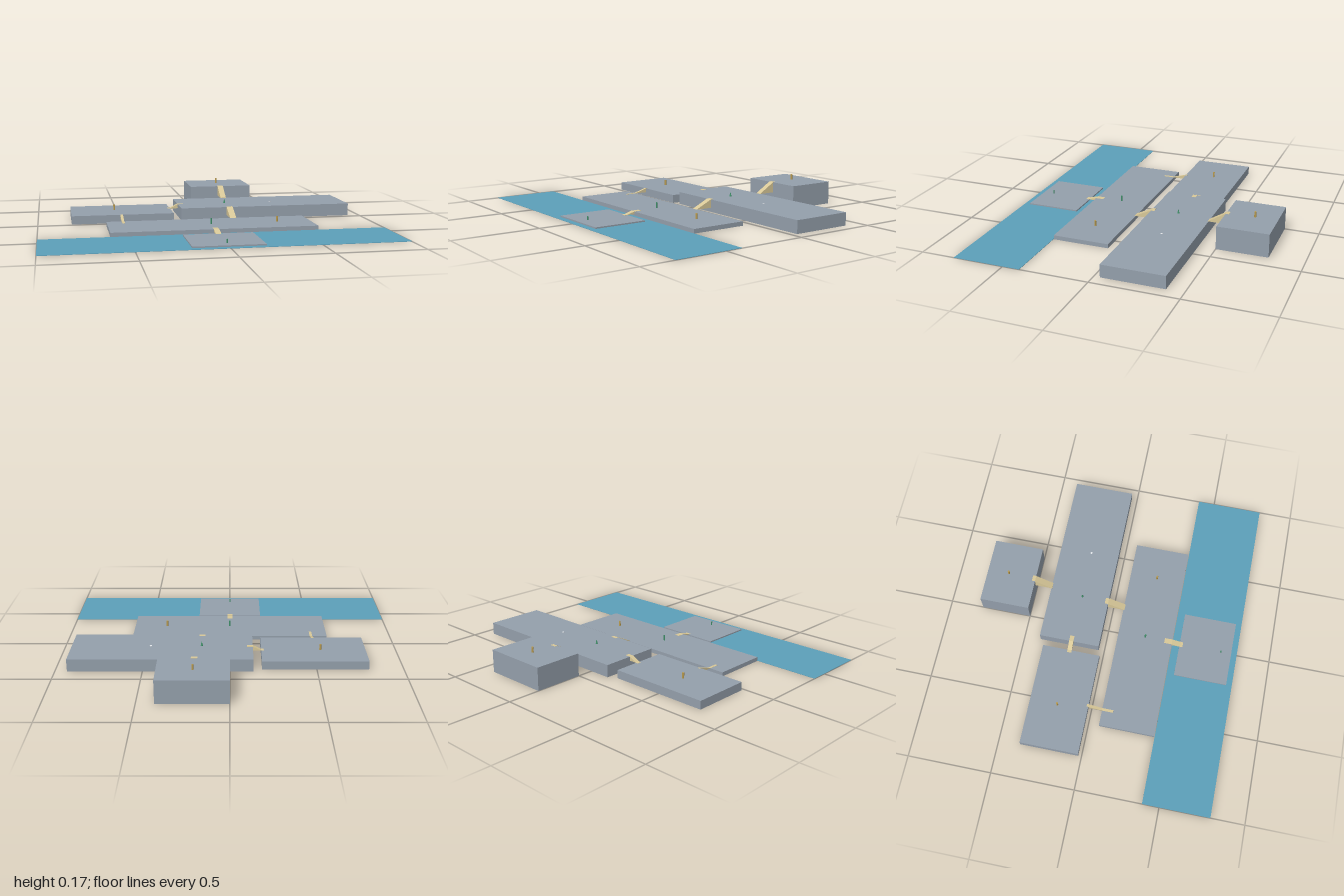
import * as THREE from 'three';

const material = (color) => new THREE.MeshStandardMaterial({ color, flatShading: true });
const stone = material(0x949fab);
const sand = material(0xd8c898);
const green = material(0x3f8f68);
const gold = material(0xb89a4e);
const white = material(0xe4e8ec);
const water = material(0x5c9fb9);

export function createModel() {
  const model = new THREE.Group();

  function add(name, geometry, mat, x, y, z) {
    const mesh = new THREE.Mesh(geometry, mat);
    mesh.name = name;
    mesh.position.set(x, y, z);
    model.add(mesh);
    return mesh;
  }

  // Slab given by its x range, z range and y range
  function slab(name, mat, x0, x1, z0, z1, y0, y1) {
    add(name, new THREE.BoxGeometry(x1 - x0, y1 - y0, z1 - z0), mat,
      (x0 + x1) / 2, (y0 + y1) / 2, (z0 + z1) / 2);
  }

  // Wedge climbing from its low edge, with thin landings resting on both platforms
  function ramp(name, x, y, z, run, rise, width, lowLanding, highLanding, turn) {
    const t = 0.001;
    const shape = new THREE.Shape();
    shape.moveTo(-lowLanding, 0);
    shape.lineTo(run, 0);
    shape.lineTo(run, rise);
    shape.lineTo(run + highLanding, rise);
    shape.lineTo(run + highLanding, rise + t);
    shape.lineTo(run, rise + t);
    shape.lineTo(0, t);
    shape.lineTo(-lowLanding, t);
    const geometry = new THREE.ExtrudeGeometry(shape, { depth: width, bevelEnabled: false });
    geometry.translate(0, 0, -width / 2);
    add(name, geometry, sand, x, y, z).rotation.y = turn;
  }

  // Small upright marker on a platform
  function marker(name, mat, x, y, z, height, topRadius, bottomRadius) {
    add(name, new THREE.CylinderGeometry(topRadius, bottomRadius, height, 8), mat,
      x, y + height / 2, z);
  }

  // Water and platforms
  slab('water', water, -1, 1, 0.4, 0.8, 0, 0.002);
  slab('dockPlatform', stone, -0.2, 0.2, 0.445, 0.765, 0.002, 0.01);
  slab('frontPlatform', stone, -0.6, 0.6, 0.063, 0.397, 0, 0.025);
  slab('sidePlatform', stone, -0.8, -0.185, -0.37, -0.02, 0, 0.05);
  slab('mainPlatform', stone, -0.135, 0.93, -0.4, -0.035, 0, 0.075);
  slab('upperPlatform', stone, 0, 0.4, -0.8, -0.5, 0, 0.138);

  // Ramps joining the platforms
  const back = Math.PI / 2;
  ramp('dockRamp', 0, 0.01, 0.45, 0.053, 0.015, 0.032, 0.015, 0.047, back);
  ramp('sideRamp', -0.502, 0.025, 0.063, 0.083, 0.025, 0.016, 0.067, 0.01, back);
  ramp('mainRamp', 0.166, 0.025, 0.07, 0.105, 0.05, 0.038, 0, 0.02, back);
  ramp('upperRamp', 0.198, 0.075, -0.395, 0.105, 0.063, 0.036, 0, 0.02, back);
  ramp('crossRamp', -0.185, 0.05, -0.205, 0.05, 0.025, 0.026, 0.015, 0.035, 0);

  // Markers
  marker('dockMarker', green, 0, 0.01, 0.7, 0.021, 0.004, 0.004);
  marker('frontMarker', green, 0, 0.025, 0.23, 0.034, 0.005, 0.005);
  marker('frontPost', gold, 0.397, 0.025, 0.23, 0.033, 0.006, 0.006);
  marker('sidePost', gold, -0.533, 0.05, -0.203, 0.034, 0.006, 0.006);
  marker('mainCone', green, 0.165, 0.075, -0.2, 0.024, 0.001, 0.007);
  marker('mainDisc', white, 0.465, 0.075, -0.205, 0.002, 0.007, 0.007);
  marker('upperPost', gold, 0.2, 0.138, -0.668, 0.033, 0.006, 0.006);

  return model;
}
